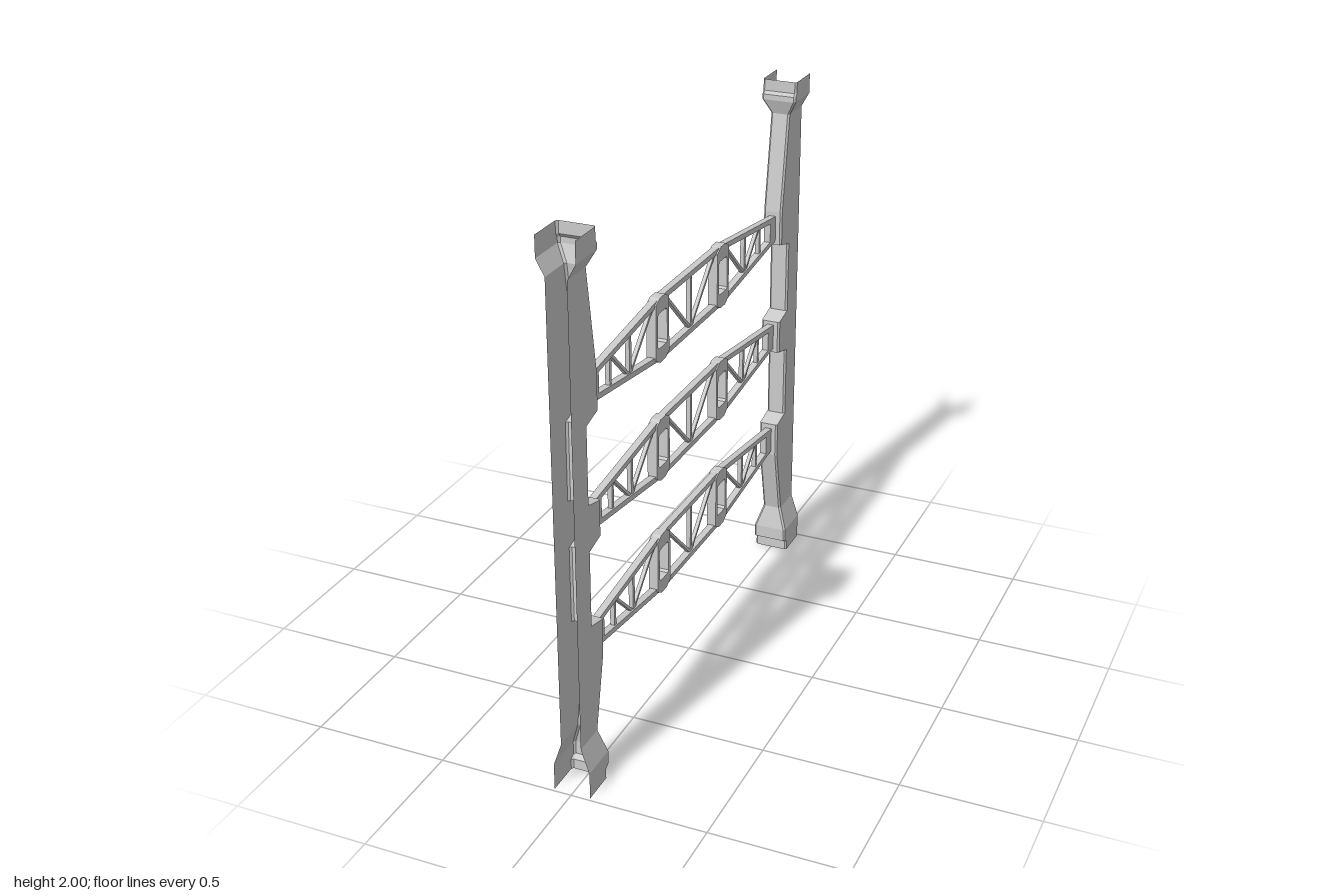
import * as THREE from 'three';

const material = new THREE.MeshStandardMaterial({ color: 0xcccccc, flatShading: true });
const sheet = new THREE.MeshStandardMaterial({ color: 0xcccccc, flatShading: true, side: THREE.DoubleSide });

const add = (parent, name, geometry, mat = material) => {
  const mesh = new THREE.Mesh(geometry, mat);
  mesh.name = name;
  parent.add(mesh);
  return mesh;
};

const vectors = (points) => points.map(([z, y]) => new THREE.Vector2(z, y));

// Plate drawn in the z-y plane, centred on x = 0
function plate(outline, hole, thickness) {
  const shape = new THREE.Shape(vectors(outline));
  shape.holes.push(new THREE.Path(vectors(hole)));
  const geometry = new THREE.ExtrudeGeometry(shape, { depth: thickness, bevelEnabled: false });
  return geometry.translate(0, 0, -thickness / 2).rotateY(-Math.PI / 2);
}

// Outline mirrored over both axes from (end, endHeight) and (knee, kneeHeight)
const lozenge = (z1, h1, z2, h2) => [
  [z1, -h1], [z1, h1], [z2, h2], [-z2, h2], [-z1, h1], [-z1, -h1], [-z2, -h2], [z2, -h2],
];

// Straight bar between two z-y points
function bar(parent, name, a, b, width, thickness) {
  const dz = b[0] - a[0], dy = b[1] - a[1];
  const mesh = add(parent, name, new THREE.BoxGeometry(thickness, width, Math.hypot(dz, dy)));
  mesh.position.set(0, (a[1] + b[1]) / 2, (a[0] + b[0]) / 2);
  mesh.rotation.x = -Math.atan2(dy, dz);
}

// Open channel: rows of [height, inner face z, half width]
function channel(rows, outer, chamfer) {
  const rings = rows.map(([y, z, w]) => [
    [w, y, outer], [w, y, z + chamfer], [w - chamfer, y, z],
    [chamfer - w, y, z], [-w, y, z + chamfer], [-w, y, outer],
  ]);
  const positions = [];
  for (let j = 0; j < rings.length - 1; j++) {
    for (let i = 0; i < 5; i++) {
      const a = rings[j][i], b = rings[j][i + 1], c = rings[j + 1][i + 1], d = rings[j + 1][i];
      positions.push(...a, ...b, ...c, ...a, ...c, ...d);
    }
  }
  const geometry = new THREE.BufferGeometry();
  geometry.setAttribute('position', new THREE.Float32BufferAttribute(positions, 3));
  geometry.computeVertexNormals();
  return geometry;
}

function createTruss() {
  const truss = new THREE.Group();
  truss.name = 'trussBeam';

  // Top and bottom chords with the solid ends
  add(truss, 'chordFrame', plate(
    lozenge(0.802, 0.05, 0.265, 0.116),
    lozenge(0.745, 0.037, 0.265, 0.096), 0.026));

  bar(truss, 'centreStrut', [0, -0.1], [0, 0.1], 0.016, 0.016);
  for (const s of [-1, 1]) {
    // Thicker node with a window
    const node = add(truss, 'nodeFrame', plate(
      lozenge(0.054, 0.1, 0.022, 0.118),
      lozenge(0.038, 0.056, 0.03, 0.064), 0.036));
    node.position.z = s * 0.265;

    // Uprights and diagonals of the half span
    bar(truss, 'strut', [s * 0.65, -0.058], [s * 0.65, 0.058], 0.014, 0.016);
    bar(truss, 'strut', [s * 0.5, -0.075], [s * 0.5, 0.075], 0.016, 0.016);
    bar(truss, 'diagonal', [s * 0.645, 0.057], [s * 0.505, -0.075], 0.011, 0.014);
    bar(truss, 'diagonal', [s * 0.5, -0.075], [s * 0.315, 0.094], 0.011, 0.014);
    bar(truss, 'diagonal', [s * 0.215, 0.1], [s * 0.005, -0.098], 0.011, 0.014);
  }
  return truss;
}

export function createModel() {
  const model = new THREE.Group();
  model.name = 'trussFrame';

  // Posts: flared ends, tapered shoulders and three brackets
  const W = 0.037, F = 0.067;
  const rows = [
    [0, 0.858, F], [0.038, 0.858, F], [0.05, 0.838, F], [0.1, 0.838, F], [0.19, 0.858, W],
    [0.46, 0.8, W], [0.597, 0.8, W], [0.615, 0.88, W],
    [0.895, 0.88, W], [0.915, 0.8, W], [1.045, 0.8, W], [1.065, 0.88, W],
    [1.345, 0.88, W], [1.367, 0.8, W], [1.5, 0.8, W],
    [1.87, 0.858, W], [1.925, 0.838, F], [1.945, 0.838, F], [1.957, 0.848, F], [2, 0.848, F],
  ];
  const post = channel(rows, 0.99, 0.007);
  add(model, 'frontPost', post, sheet);
  add(model, 'backPost', post, sheet).rotation.y = Math.PI;

  // Three identical beams between the posts
  for (const y of [0.527, 0.981, 1.432]) {
    const truss = createTruss();
    truss.position.y = y;
    model.add(truss);
  }
  return model;
}
